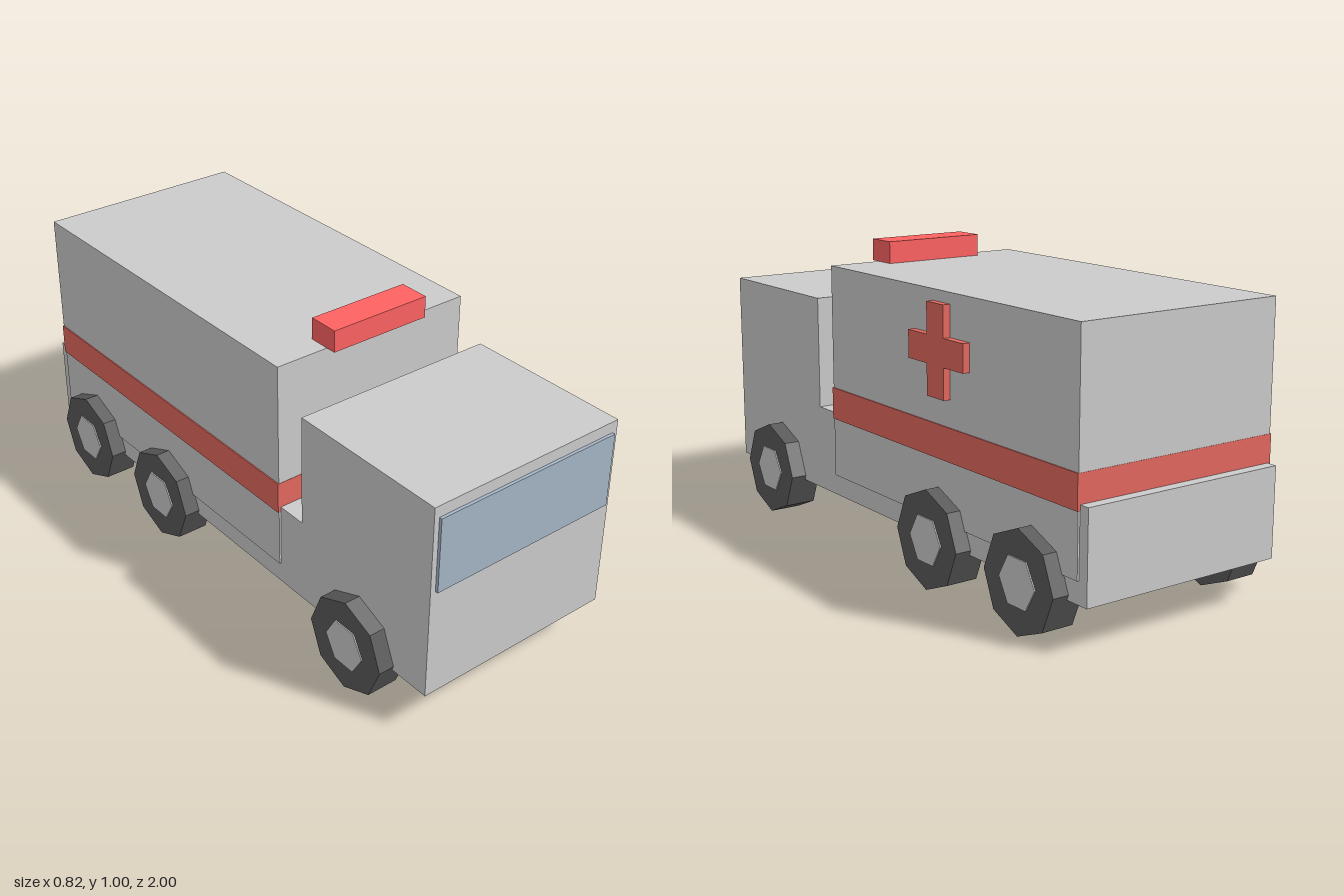
import * as THREE from 'three';

const material = (color) => new THREE.MeshStandardMaterial({ color, flatShading: true });

export function createModel() {
  const model = new THREE.Group();
  model.name = 'ambulance';
  const grey = material(0xcccccc);
  const red = material(0xe3685f);
  const lampRed = material(0xff6262);
  const glass = material(0xa6b6c7);
  const rubber = material(0x595959);

  const add = (name, geometry, mat, parent = model) => {
    const mesh = new THREE.Mesh(geometry, mat);
    mesh.name = name;
    parent.add(mesh);
    return mesh;
  };

  // Box given by its limits along each axis
  const box = (name, mat, [x0, x1], [y0, y1], [z0, z1]) =>
    add(name, new THREE.BoxGeometry(x1 - x0, y1 - y0, z1 - z0), mat)
      .position.set((x0 + x1) / 2, (y0 + y1) / 2, (z0 + z1) / 2);

  // Side profile given as [z, y], extruded along x between x0 and x1
  const sideProfile = (points, x0, x1) => {
    const shape = new THREE.Shape(points.map(([z, y]) => new THREE.Vector2(-z, y)));
    return new THREE.ExtrudeGeometry(shape, { depth: x1 - x0, bevelEnabled: false })
      .rotateY(Math.PI / 2).translate(x0, 0, 0);
  };

  // Cab and chassis in one stepped body
  add('cabAndChassis', sideProfile([
    [0.99, 0.145], [-1, 0.145], [-1, 0.43], [0.42, 0.43], [0.42, 0.803], [0.99, 0.803],
  ], -0.355, 0.355), grey);
  box('windscreen', glass, [-0.337, 0.337], [0.516, 0.765], [0.97, 1]);

  // Rear compartment with its band and roof light
  box('rearCompartment', grey, [-0.361, 0.361], [0.215, 0.925], [-0.965, 0.315]);
  box('stripe', red, [-0.365, 0.365], [0.412, 0.518], [-0.966, 0.316]);
  box('roofLight', lampRed, [-0.178, 0.178], [0.925, 0.997], [0.245, 0.35]);

  // Raised cross on the left side only
  const a = 0.143, b = 0.044;
  const cross = [
    [a, b], [b, b], [b, a], [-b, a], [-b, b], [-a, b],
    [-a, -b], [-b, -b], [-b, -a], [b, -a], [b, -b], [a, -b],
  ].map(([z, y]) => [z - 0.323, y + 0.747]);
  add('cross', sideProfile(cross, 0.35, 0.385), red);

  // Three axles: eight-sided tyres with six-sided hubs
  const tyre = new THREE.CylinderGeometry(0.16, 0.16, 0.107, 8).rotateZ(Math.PI / 2);
  const hub = new THREE.CylinderGeometry(0.083, 0.083, 0.115, 6).rotateZ(Math.PI / 2);
  for (const [label, z] of [['front', 0.693], ['middle', -0.302], ['rear', -0.762]]) {
    for (const side of [1, -1]) {
      const wheel = new THREE.Group();
      wheel.name = label + (side > 0 ? 'LeftWheel' : 'RightWheel');
      wheel.position.set(side * 0.355, 0.161, z);
      add('tyre', tyre, rubber, wheel);
      add('hub', hub, grey, wheel);
      model.add(wheel);
    }
  }
  return model;
}
